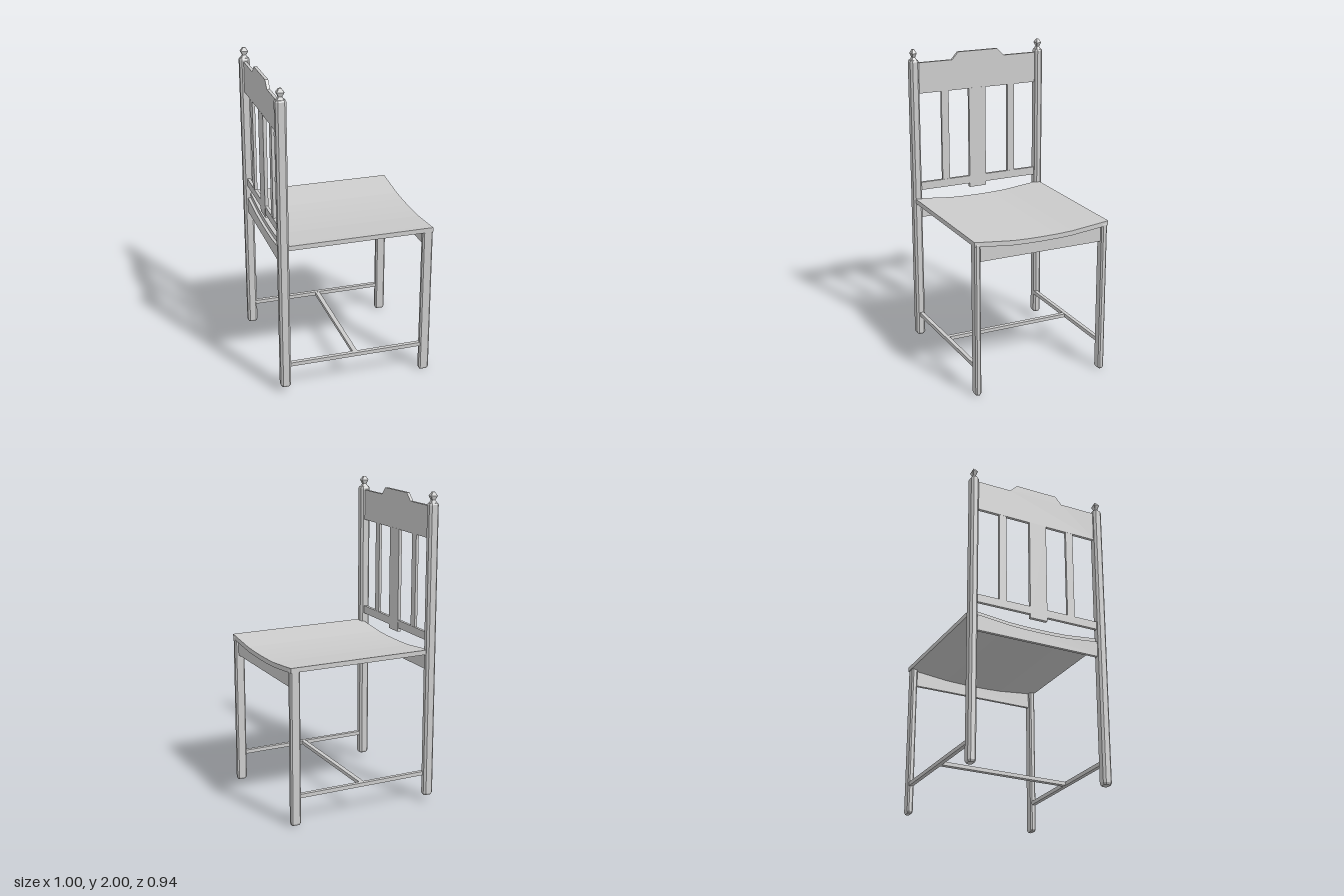
import * as THREE from 'three';

const material = new THREE.MeshStandardMaterial({ color: 0xcccccc, flatShading: true });

function add(group, name, geometry, x = 0, y = 0, z = 0) {
  const mesh = new THREE.Mesh(geometry, material);
  mesh.name = name;
  mesh.position.set(x, y, z);
  group.add(mesh);
  return mesh;
}

// Box given by its minimum and maximum on each axis
function bar(group, name, [x0, x1], [y0, y1], [z0, z1]) {
  return add(group, name, new THREE.BoxGeometry(x1 - x0, y1 - y0, z1 - z0),
    (x0 + x1) / 2, (y0 + y1) / 2, (z0 + z1) / 2);
}

// Stack of chamfered rectangles; each level is [y, width, depth, chamfer]
function loft(levels) {
  const pos = [];
  const rings = levels.map(([y, w, d, c]) => {
    const a = w / 2, b = d / 2;
    return [[a, b - c], [a - c, b], [c - a, b], [-a, b - c], [-a, c - b], [c - a, -b], [a - c, -b], [a, c - b]]
      .map(([x, z]) => [x, y, z]);
  });
  const tri = (a, b, c) => pos.push(...a, ...b, ...c);
  const first = rings[0], last = rings[rings.length - 1];
  for (let i = 0; i < 8; i++) {
    const j = (i + 1) % 8;
    for (let k = 0; k < rings.length - 1; k++) {
      const lo = rings[k], hi = rings[k + 1];
      tri(lo[i], hi[i], hi[j]);
      tri(lo[i], hi[j], lo[j]);
    }
    if (i > 0 && i < 7) {
      tri(first[0], first[i], first[j]);
      tri(last[0], last[j], last[i]);
    }
  }
  const g = new THREE.BufferGeometry();
  g.setAttribute('position', new THREE.Float32BufferAttribute(pos, 3));
  g.computeVertexNormals();
  return g;
}

// Outline of [z, y] points given thickness along x, starting at x0
function panel(group, name, points, x0, x1) {
  const shape = new THREE.Shape(points.map(([z, y]) => new THREE.Vector2(-z, y)));
  const g = new THREE.ExtrudeGeometry(shape, { depth: x1 - x0, bevelEnabled: false });
  g.rotateY(Math.PI / 2);
  return add(group, name, g, x0);
}

export function createModel() {
  const chair = new THREE.Group();
  chair.name = 'chair';

  // Back posts with chamfered edges and faceted finials
  for (const [side, z, d] of [['left', -0.449, 0.052], ['right', 0.44, 0.059]]) {
    add(chair, side + 'BackPost', loft([
      [0.04, 0.052, d - 0.014, 0.01], [0.053, 0.066, d, 0.013],
      [1.922, 0.066, d, 0.013], [1.932, 0.056, d - 0.01, 0.01],
    ]), -0.466, 0, z);
    add(chair, side + 'Finial', loft([
      [1.93, 0.05, 0.036, 0.003], [1.95, 0.024, 0.018, 0.002],
      [1.976, 0.05, 0.034, 0.003], [2.0, 0.017, 0.012, 0.001],
    ]), -0.466, 0, z);
  }

  // Front legs
  for (const [side, z] of [['left', -0.435], ['right', 0.436]]) {
    add(chair, side + 'FrontLeg', loft([
      [0, 0.052, 0.026, 0.006], [0.013, 0.066, 0.038, 0.009],
      [0.99, 0.066, 0.038, 0.009], [0.998, 0.058, 0.03, 0.006],
    ]), 0.464, 0, z);
  }

  // Dished seat, lowest along its middle
  const dip = [[-0.458, 1.012], [-0.4, 1.005], [-0.2, 0.984], [-0.1, 0.98], [0, 0.979],
    [0.1, 0.98], [0.2, 0.984], [0.4, 1.005], [0.458, 1.012]];
  const under = dip.map(([z, y]) => [z, y - 0.03]);
  panel(chair, 'seat', [...dip, ...under.slice().reverse()], -0.457, 0.495);

  // Aprons under the front and back of the seat, following its curve
  const apron = [[-0.425, 0.875], [0.425, 0.875], [0.425, 0.977],
    ...under.slice(1, -1).reverse(), [-0.425, 0.977]];
  panel(chair, 'frontApron', apron, 0.455, 0.475);
  panel(chair, 'backApron', apron, -0.476, -0.456);

  // Crest rail with a raised centre
  panel(chair, 'crestRail', [[-0.43, 1.712], [0.42, 1.712], [0.42, 1.912], [0.175, 1.912],
    [0.132, 1.96], [-0.148, 1.96], [-0.195, 1.912], [-0.43, 1.912]], -0.476, -0.456);

  // Lower rail, centre splat and slats of the backrest
  bar(chair, 'lowerBackRail', [-0.476, -0.456], [1.063, 1.115], [-0.43, 0.42]);
  bar(chair, 'centreSplat', [-0.477, -0.455], [1.037, 1.715], [-0.06, 0.058]);
  bar(chair, 'rightSlat', [-0.475, -0.457], [1.11, 1.715], [0.203, 0.254]);
  bar(chair, 'leftSlat', [-0.475, -0.457], [1.11, 1.715], [-0.273, -0.222]);

  // H-shaped stretcher
  for (const [side, z] of [['left', -0.437], ['right', 0.437]]) {
    bar(chair, side + 'Stretcher', [-0.45, 0.45], [0.175, 0.2], [z - 0.013, z + 0.013]);
  }
  bar(chair, 'crossStretcher', [-0.015, 0.015], [0.176, 0.199], [-0.435, 0.435]);

  return chair;
}
